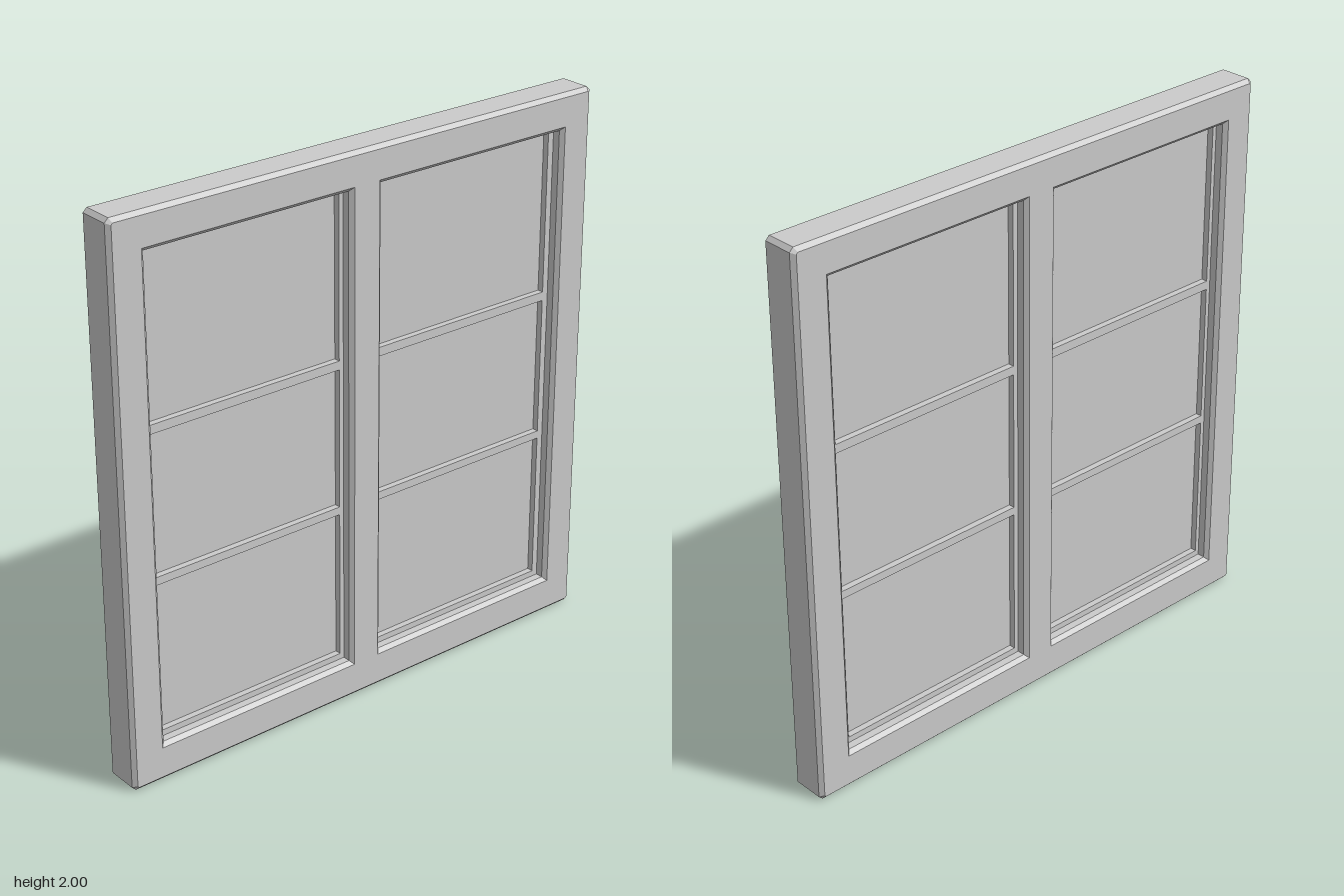
import * as THREE from 'three';

const material = new THREE.MeshStandardMaterial({ color: 0xcccccc, flatShading: true });

// Closed rectangle outline, optionally with clipped corners
function rect(PathType, x0, x1, y0, y1, c = 0) {
  const pts = c
    ? [[x0 + c, y0], [x1 - c, y0], [x1, y0 + c], [x1, y1 - c], [x1 - c, y1], [x0 + c, y1], [x0, y1 - c], [x0, y0 + c]]
    : [[x0, y0], [x1, y0], [x1, y1], [x0, y1]];
  return new PathType(pts.map(([x, y]) => new THREE.Vector2(x, y)));
}

// Extrude a shape centred on z = 0, with a chamfer cut into its edges
function slab(name, shape, depth, chamfer = 0) {
  const geometry = new THREE.ExtrudeGeometry(shape, {
    depth: depth - 2 * chamfer,
    bevelEnabled: chamfer > 0,
    bevelThickness: chamfer,
    bevelSize: chamfer,
    bevelOffset: -chamfer,
    bevelSegments: 1,
  });
  geometry.translate(0, 0, -depth / 2 + chamfer);
  const mesh = new THREE.Mesh(geometry, material);
  mesh.name = name;
  return mesh;
}

export function createModel() {
  const model = new THREE.Group();
  model.name = 'window';

  // Inner edges of the two openings
  const bottom = 0.14, top = 1.868;
  const openings = [
    { name: 'right', x0: -0.856, x1: -0.068, pane: [-0.84, -0.085] },
    { name: 'left', x0: 0.064, x1: 0.853, pane: [0.082, 0.83] },
  ];

  // Chamfered outer frame with its central mullion
  const frame = rect(THREE.Shape, -0.987, 0.987, 0, 2, 0.014);
  for (const o of openings) frame.holes.push(rect(THREE.Path, o.x0, o.x1, bottom, top));
  model.add(slab('frame', frame, 0.14, 0.014));

  // Recessed sash with three lights, and a glass sheet, in each opening
  const lights = [[0.162, 0.708], [0.737, 1.244], [1.276, 1.855]];
  for (const o of openings) {
    const sash = rect(THREE.Shape, o.x0 - 0.01, o.x1 + 0.01, bottom - 0.01, top + 0.01);
    for (const [y0, y1] of lights) sash.holes.push(rect(THREE.Path, ...o.pane, y0, y1));
    model.add(slab(o.name + 'Sash', sash, 0.056));

    const glass = rect(THREE.Shape, o.pane[0] - 0.006, o.pane[1] + 0.006, lights[0][0] - 0.006, lights[2][1] + 0.006);
    model.add(slab(o.name + 'Glass', glass, 0.01));
  }
  return model;
}
